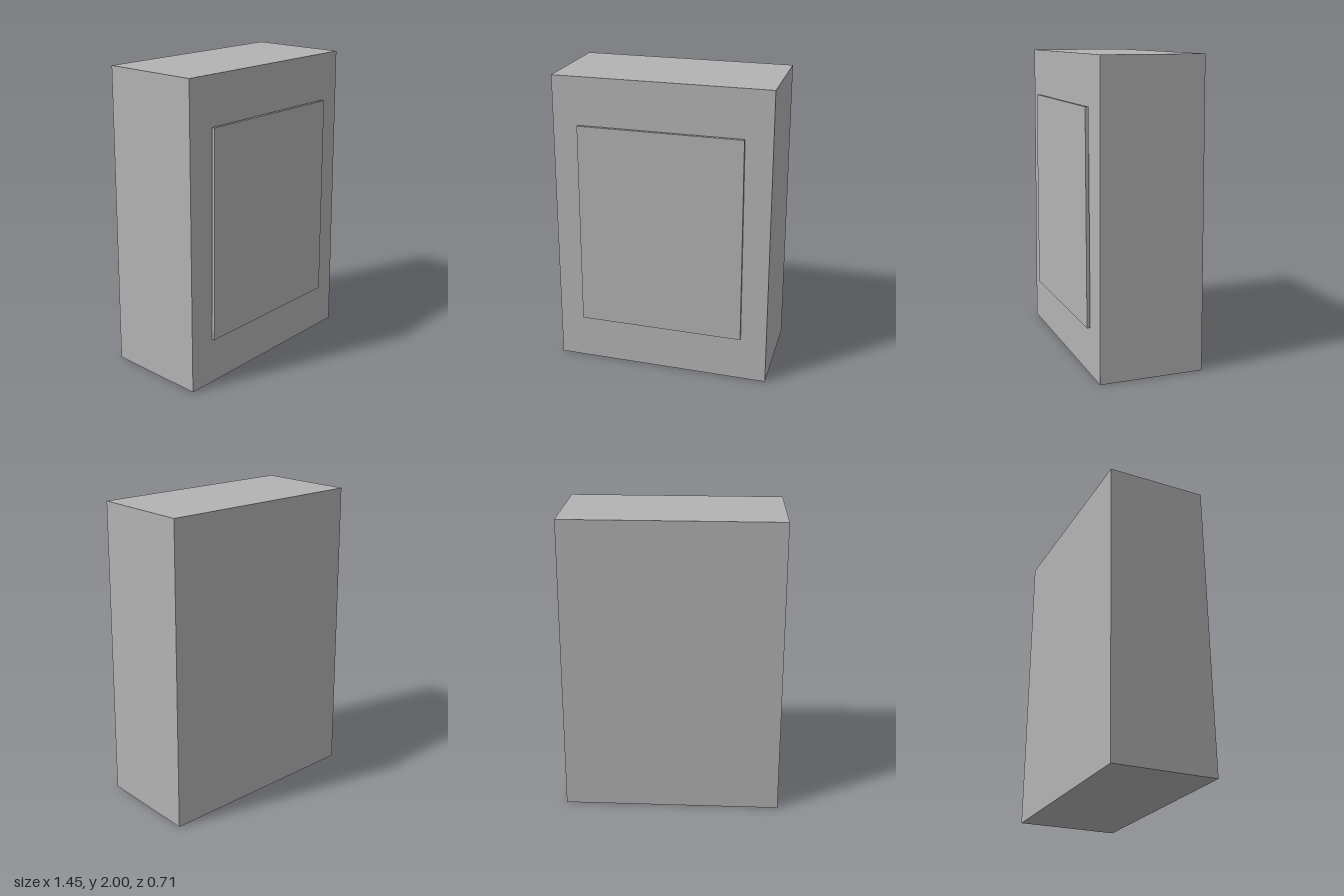
import * as THREE from 'three';

const grey = new THREE.MeshStandardMaterial({ color: 0xb3b3b3 });
grey.name = 'plain grey';

// Box whose upper corners are drawn inwards to the given top size
function taperedBox(name, bottomW, topW, height, bottomD, topD) {
  const geometry = new THREE.BoxGeometry(bottomW, height, bottomD);
  const p = geometry.attributes.position;
  for (let i = 0; i < p.count; i++) {
    if (p.getY(i) > 0) {
      p.setX(i, Math.sign(p.getX(i)) * topW / 2);
      p.setZ(i, Math.sign(p.getZ(i)) * topD / 2);
    }
  }
  geometry.computeVertexNormals();
  const mesh = new THREE.Mesh(geometry, grey);
  mesh.name = name;
  return mesh;
}

export function createModel() {
  const model = new THREE.Group();
  model.name = 'cabinet';

  // Slightly tapering block
  const body = taperedBox('body', 1.453, 1.415, 2, 0.689, 0.669);
  body.position.set(0, 1, -0.0125);

  // Thin panel standing just clear of the front
  const panel = taperedBox('frontPanel', 1.106, 1.076, 1.38, 0.021, 0.021);
  panel.position.set(0, 1, 0.3465);

  model.add(body, panel);
  return model;
}
